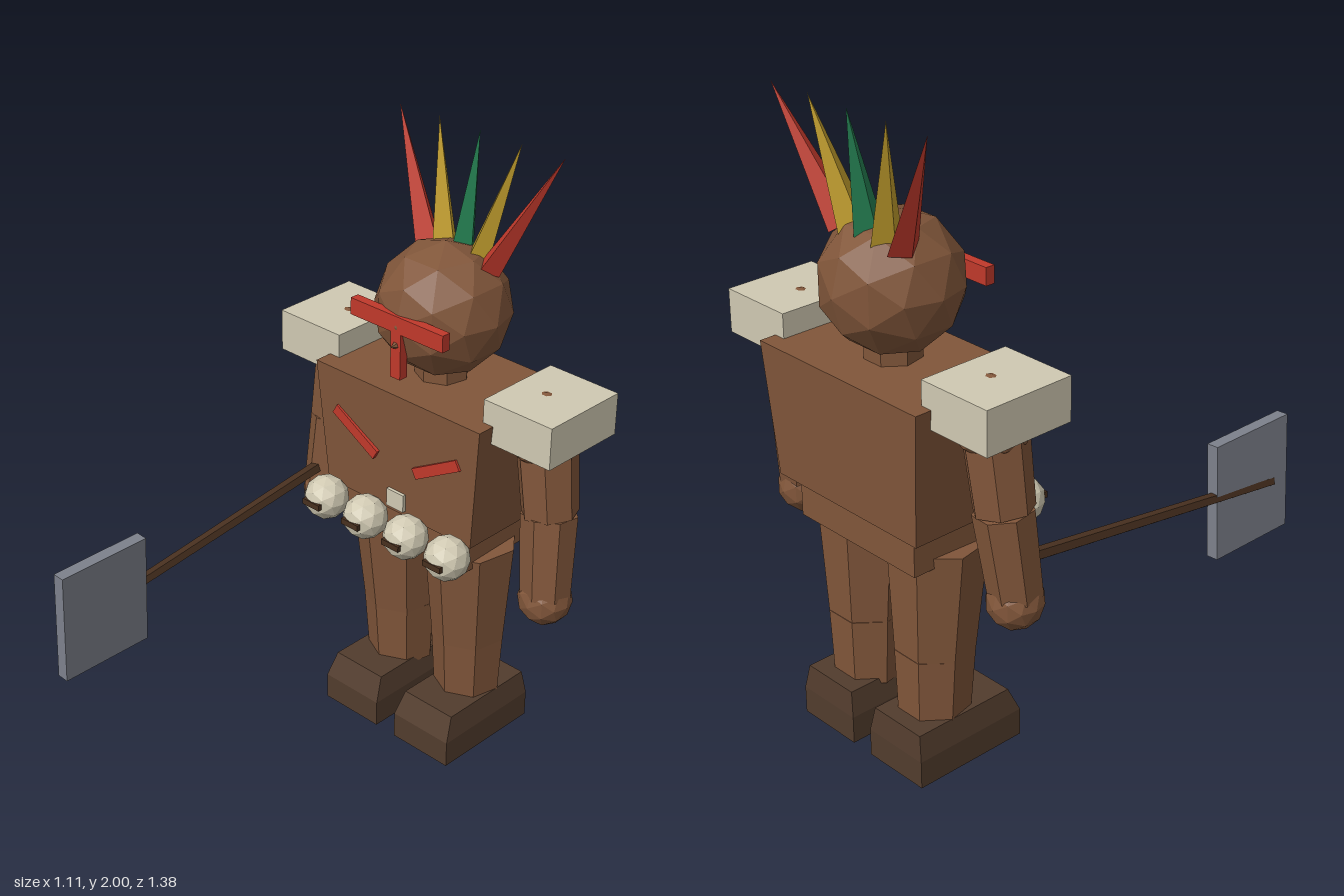
import * as THREE from 'three';

const mat = (name, color) => {
  const m = new THREE.MeshStandardMaterial({ color, flatShading: true });
  m.name = name;
  return m;
};

export function createModel() {
  const brown = mat('brown', 0x81563a);
  const darkBrown = mat('dark brown', 0x523c2d);
  const wood = mat('dark wood', 0x48301f);
  const red = mat('red', 0xc0392b);
  const yellow = mat('yellow', 0xc4a02e);
  const green = mat('green', 0x258052);
  const bone = mat('bone', 0xd0c9b2);
  const steel = mat('steel', 0x7d818c);

  const model = new THREE.Group();
  model.name = 'warriorRobot';
  const V = (x, y, z) => new THREE.Vector3(x, y, z);

  const add = (name, geometry, material, x = 0, y = 0, z = 0) => {
    const mesh = new THREE.Mesh(geometry, material);
    mesh.name = name;
    mesh.position.set(x, y, z);
    model.add(mesh);
    return mesh;
  };
  // Box from its corner limits
  const box = (name, material, x0, x1, y0, y1, z0, z1) =>
    add(name, new THREE.BoxGeometry(x1 - x0, y1 - y0, z1 - z0), material,
      (x0 + x1) / 2, (y0 + y1) / 2, (z0 + z1) / 2);
  // Box whose top and bottom differ in size, with the top shifted along z
  const taper = (name, material, [w0, d0], [w1, d1], x, y0, y1, z, shift = 0) => {
    const g = new THREE.BoxGeometry(1, y1 - y0, 1);
    const p = g.attributes.position;
    for (let i = 0; i < p.count; i++) {
      const top = p.getY(i) > 0;
      p.setX(i, p.getX(i) * (top ? w1 : w0));
      p.setZ(i, p.getZ(i) * (top ? d1 : d0) + (top ? shift : 0));
    }
    return add(name, g, material, x, (y0 + y1) / 2, z);
  };
  // Tapered rod between two points
  const rod = (name, material, a, b, ra, rb, sides) => {
    const dir = b.clone().sub(a);
    const mesh = add(name, new THREE.CylinderGeometry(rb, ra, dir.length(), sides), material);
    mesh.position.copy(a).lerp(b, 0.5);
    mesh.quaternion.setFromUnitVectors(V(0, 1, 0), dir.normalize());
    return mesh;
  };
  const ball = (name, material, r, x, y, z) =>
    add(name, new THREE.IcosahedronGeometry(r, 1), material, x, y, z);

  // Body
  taper('torso', brown, [0.6, 0.38], [0.67, 0.42], 0, 0.83, 1.25, -0.48);
  box('pelvis', brown, -0.25, 0.25, 0.7, 0.84, -0.635, -0.325);
  box('buckle', bone, -0.035, 0.035, 0.85, 0.91, -0.31, -0.275);
  rod('neck', brown, V(0, 1.22, -0.48), V(0, 1.32, -0.48), 0.085, 0.085, 7);

  // Head and face guard
  ball('head', brown, 0.213, 0, 1.478, -0.477);
  box('browGuard', red, -0.185, 0.185, 1.46, 1.515, -0.297, -0.266);
  box('noseGuard', red, -0.02, 0.02, 1.31, 1.46, -0.297, -0.266);
  rod('nose', brown, V(0, 1.42, -0.32), V(0, 1.42, -0.245), 0.04, 0, 5);

  // Fan of crest spikes
  const spike = (material, bx, by, bz, tx) => {
    const s = rod('crestSpike', material, V(bx, by, bz), V(tx, 2, -0.615), 0.055, 0, 4);
    s.scale.x = 0.7;
  };
  spike(green, 0, 1.62, -0.55, 0);

  for (const s of [1, -1]) {
    spike(yellow, s * 0.068, 1.63, -0.55, s * 0.16);
    spike(red, s * 0.125, 1.62, -0.54, s * 0.32);

    // Slanted chest stripe
    const stripe = box('chestStripe', red, -0.1, 0.1, -0.018, 0.018, -0.015, 0.015);
    stripe.position.set(s * 0.168, 1.06, -0.284);
    stripe.rotation.z = s * 0.52;

    // Arm
    ball('shoulder', brown, 0.122, s * 0.405, 1.21, -0.485);
    box('shoulderPad', bone, s * 0.4235 - 0.1275, s * 0.4235 + 0.1275, 1.19, 1.327, -0.635, -0.33);
    const elbow = V(s * 0.447, 0.94, -0.48);
    rod('upperArm', brown, V(s * 0.412, 1.2, -0.485), elbow, 0.098, 0.09, 7);
    rod('forearm', brown, elbow, V(s * 0.47, 0.67, -0.455), 0.09, 0.08, 7);
    ball('hand', brown, 0.086, s * 0.468, 0.652, -0.457);

    // Leg
    const knee = V(s * 0.15, 0.37, -0.48);
    rod('shin', brown, V(s * 0.148, 0.15, -0.485), knee, 0.11, 0.122, 7);
    rod('thigh', brown, knee, V(s * 0.155, 0.73, -0.467), 0.122, 0.15, 7);

    // Boot with a bevelled upper
    box('bootSole', darkBrown, s * 0.155 - 0.115, s * 0.155 + 0.115, 0, 0.09, -0.645, -0.25);
    taper('bootUpper', darkBrown, [0.23, 0.395], [0.2, 0.35], s * 0.155, 0.09, 0.17, -0.4475, -0.013);
  }

  // Belt of skulls with dark mouths
  for (const x of [-0.257, -0.086, 0.086, 0.257]) {
    ball('beltSkull', bone, 0.073, x, 0.803, -0.235);
    box('skullMouth', wood, x - 0.035, x + 0.035, 0.793, 0.813, -0.2, -0.162);
  }

  // Axe
  rod('axeShaft', wood, V(-0.46, 0.77, -0.45), V(-0.478, 0.625, 0.63), 0.021, 0.018, 5);
  const blade = box('axeBlade', steel, -0.02, 0.02, -0.19, 0.19, -0.1625, 0.1625);
  blade.position.set(-0.468, 0.645, 0.5275);
  blade.rotation.z = -0.05;

  return model;
}
